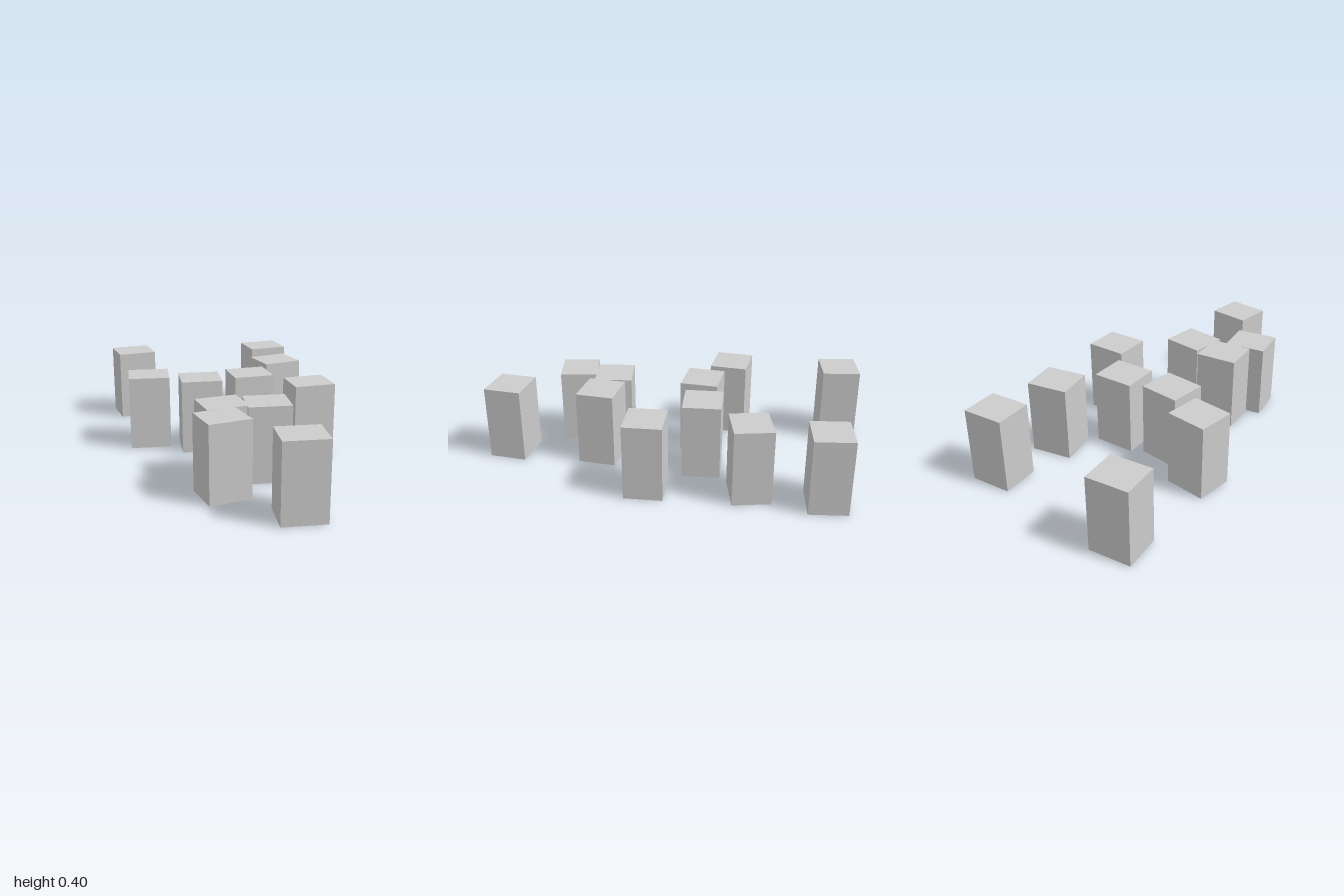
import * as THREE from 'three';

// Scattered upright blocks: [x, z, turn about y in degrees]
const PLACEMENTS = [
  [-0.4, -0.892, 4.8],
  [0.421, -0.806, 3.7],
  [0.373, -0.422, 10],
  [-0.415, -0.286, -8.2],
  [-0.157, -0.141, -7.2],
  [0.132, -0.165, 0.5],
  [0.386, 0.1, -0.5],
  [-0.168, 0.35, 4.8],
  [0.053, 0.387, -7.8],
  [-0.223, 0.558, 8],
  [0.047, 0.884, -8],
];
const WIDTH = 0.22, HEIGHT = 0.398, DEPTH = 0.2;

export function createModel() {
  const model = new THREE.Group();
  model.name = 'blockCluster';
  const material = new THREE.MeshStandardMaterial({ color: 0xcccccc, flatShading: true });

  // One shared block shape, standing on the ground
  const block = new THREE.BoxGeometry(WIDTH, HEIGHT, DEPTH);
  block.translate(0, HEIGHT / 2, 0);

  PLACEMENTS.forEach(([x, z, turn], i) => {
    const mesh = new THREE.Mesh(block, material);
    mesh.name = `block${i + 1}`;
    mesh.position.set(x, 0, z);
    mesh.rotation.y = THREE.MathUtils.degToRad(turn);
    model.add(mesh);
  });
  return model;
}
